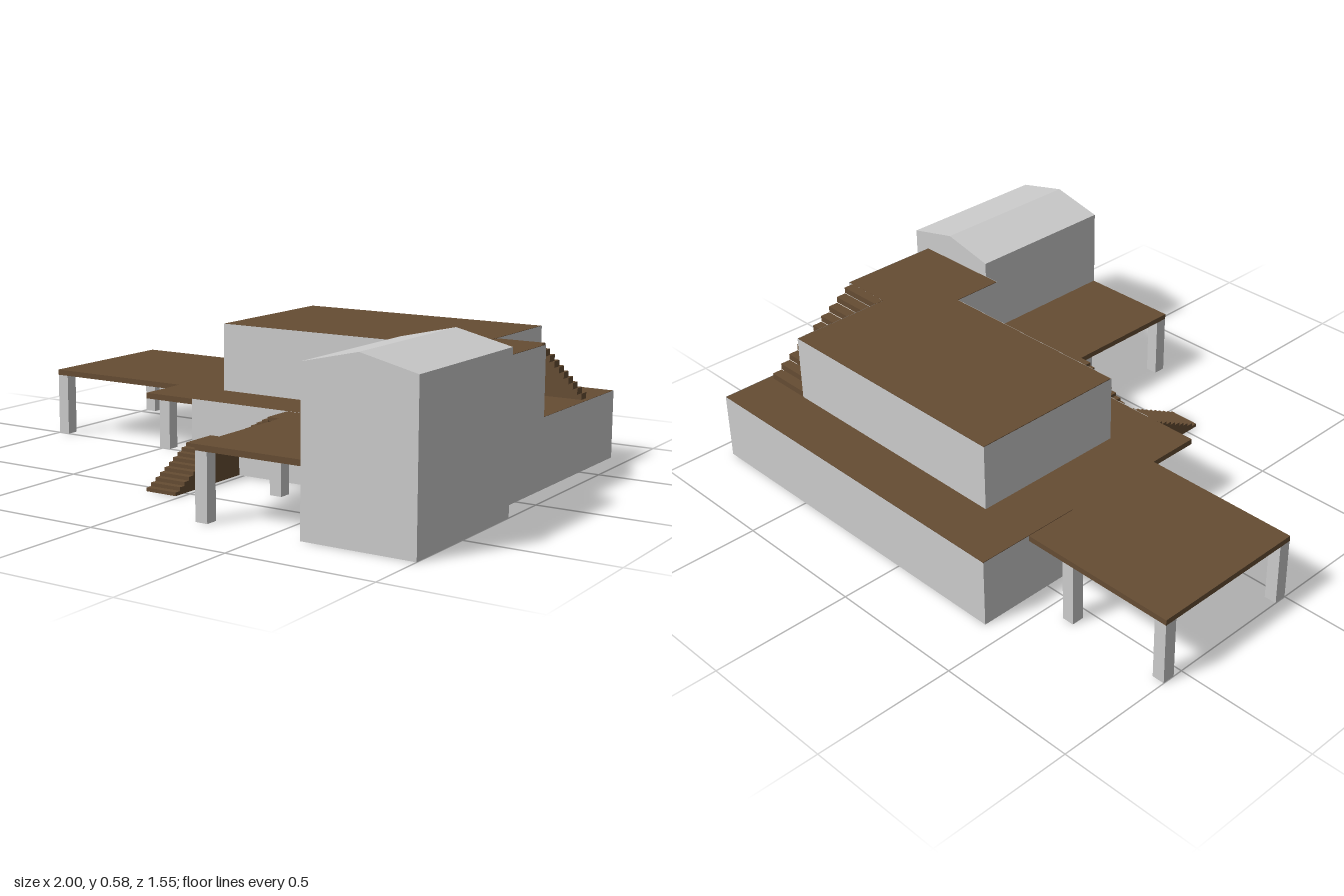
import * as THREE from 'three';

export function createModel() {
  const model = new THREE.Group();
  const plaster = new THREE.MeshStandardMaterial({ color: 0xcccccc, side: THREE.DoubleSide });
  plaster.name = 'grey plaster';
  const timber = new THREE.MeshStandardMaterial({ color: 0x664d33 });
  timber.name = 'brown timber';

  const DECK = 0.245, ROOF = 0.485, THICK = 0.02;

  function add(name, geometry, material, parent = model) {
    const mesh = new THREE.Mesh(geometry, material);
    mesh.name = name;
    parent.add(mesh);
    return mesh;
  }

  // Box given by its low and high limits on each axis
  function box(name, [x0, x1], [y0, y1], [z0, z1], material, parent) {
    const mesh = add(name, new THREE.BoxGeometry(x1 - x0, y1 - y0, z1 - z0), material, parent);
    mesh.position.set((x0 + x1) / 2, (y0 + y1) / 2, (z0 + z1) / 2);
  }

  // Thin upright walls along a closed outline of [x, z] points
  function walls(name, outline, y0, y1) {
    const p = [];
    outline.forEach(([ax, az], i) => {
      const [bx, bz] = outline[(i + 1) % outline.length];
      p.push(ax, y0, az, bx, y0, bz, bx, y1, bz, ax, y0, az, bx, y1, bz, ax, y1, az);
    });
    const g = new THREE.BufferGeometry();
    g.setAttribute('position', new THREE.Float32BufferAttribute(p, 3));
    g.computeVertexNormals();
    add(name, g, plaster);
  }

  // Flat slab over an outline of [x, z] points, with its top at the given height
  function slab(name, outline, top) {
    const shape = new THREE.Shape(outline.map(([x, z]) => new THREE.Vector2(x, -z)));
    const g = new THREE.ExtrudeGeometry(shape, { depth: THICK, bevelEnabled: false });
    g.rotateX(-Math.PI / 2);
    g.translate(0, top - THICK, 0);
    add(name, g, timber);
  }

  // Ground floor, open underneath, stepped back below the front left deck corner
  walls('groundFloorWalls', [
    [-0.42, -0.775], [-0.42, -0.385], [-0.22, -0.385], [-0.22, 0.192], [0.93, 0.192], [0.93, -0.775],
  ], 0, DECK);
  slab('mainDeck', [
    [-0.418, -0.773], [-0.418, -0.385], [-0.42, -0.385], [-0.42, 0.192], [-0.22, 0.192], [-0.22, 0.19],
    [0.928, 0.19], [0.928, -0.773],
  ], DECK);

  // Upper floor with a front bay and a recess for the back stairs
  const upper = [
    [-0.22, -0.58], [-0.22, 0], [0.545, 0], [0.545, 0.192],
    [0.93, 0.192], [0.93, -0.195], [0.735, -0.195], [0.735, -0.58],
  ];
  walls('upperFloorWalls', upper, DECK, ROOF);
  slab('upperTerrace', [
    [-0.218, -0.578], [-0.218, -0.002], [0.547, -0.002], [0.547, 0.19],
    [0.928, 0.19], [0.928, -0.193], [0.733, -0.193], [0.733, -0.578],
  ], ROOF + 0.0005);

  // Decks on posts
  box('sideDeck', [-1, -0.42], [DECK - THICK, DECK], [-0.58, 0], timber);
  box('frontDeck', [0.225, 0.61], [DECK - THICK, DECK], [0.195, 0.773], timber);
  box('frontDeckTab', [0.2, 0.225], [DECK - THICK, DECK], [0.195, 0.31], timber);
  const posts = new THREE.Group();
  posts.name = 'posts';
  model.add(posts);
  const h = 0.0225;
  for (const [x, z] of [
    [-0.977, -0.557], [-0.977, -0.023], [-0.592, -0.557], [-0.49, -0.023], [0.248, 0.75], [0.248, 0.345],
  ]) box('post', [x - h, x + h], [0, DECK - THICK], [z - h, z + h], plaster, posts);

  // Gabled tower: walls, gable ends, sloping roof and inner floor
  const [x0, x1, z0, z1, eave, ridge] = [0.61, 1, 0.195, 0.775, 0.535, 0.58];
  const xm = (x0 + x1) / 2;
  walls('towerWalls', [[x0, z0], [x0, z1], [x1, z1], [x1, z0]], 0, eave);
  const gable = new THREE.Shape([
    new THREE.Vector2(x0, eave), new THREE.Vector2(x1, eave), new THREE.Vector2(xm, ridge),
  ]);
  add('towerGabledRoof', new THREE.ExtrudeGeometry(gable, { depth: z1 - z0, bevelEnabled: false }), plaster)
    .position.z = z0;
  box('towerFloor', [x0 + 0.002, x1 - 0.002], [DECK - THICK, DECK], [z0 + 0.002, z1 - 0.002], timber);

  // Stairs of ten steps each
  const [back, lower, side] = ['backStairs', 'lowerFrontStairs', 'upperFrontStairs'].map((name) => {
    const g = new THREE.Group();
    g.name = name;
    model.add(g);
    return g;
  });
  const n = 10, landing = 0.125;
  for (let i = 0; i < n; i++) {
    // Floating treads rising towards the front
    const bz = -0.58 + i * 0.0387, by = DECK + i * 0.0242;
    box('tread', [0.735, 0.91], [by, by + 0.022], [bz, bz + 0.0387], timber, back);
    // Solid steps up to the landing
    const lz = 0.55 - i * 0.024;
    box('step', [-0.14, -0.02], [0, (i + 1) * landing / n], [lz - 0.024, lz], timber, lower);
    // Thin treads from the landing up to the front deck
    const sx = -0.02 + i * 0.022, sy = landing + i * 0.012;
    box('tread', [sx, sx + 0.024], [sy, sy + 0.012], [0.195, 0.31], timber, side);
  }
  box('landing', [-0.14, -0.02], [0, landing], [0.19, 0.31], timber);

  return model;
}
